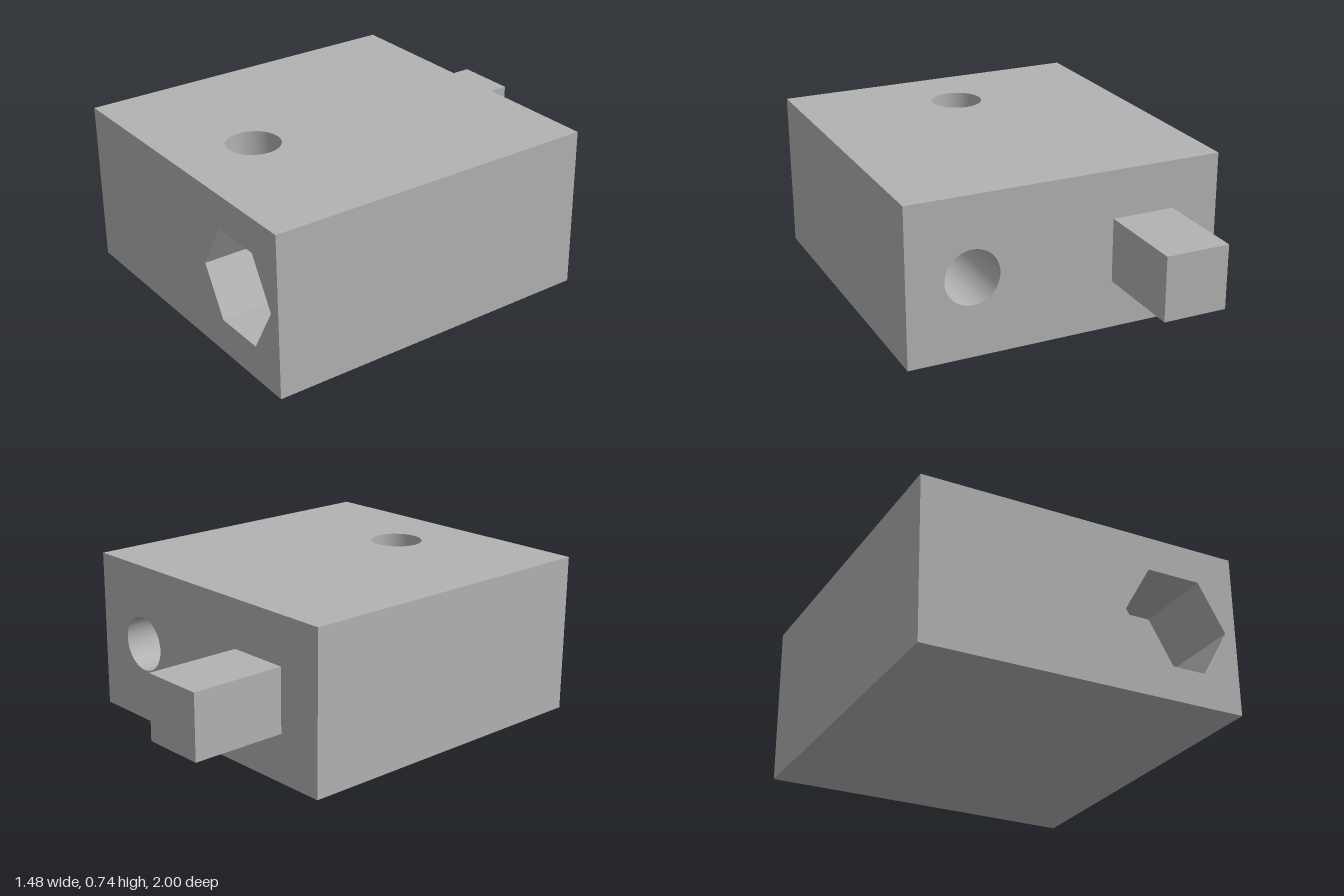
import * as THREE from 'three';

const W = 1.48, H = 0.74, FRONT = 1, BACK = -0.555;
const MID_Z = (FRONT + BACK) / 2, LEN = FRONT - BACK;
const BORE = { x: 0.44, y: 0.37, r: 0.127 };
const HEX = { r: 0.248, depth: 0.375 };
const TOP = { z: 0.627, r: 0.12, depth: 0.37 };

export function createModel() {
  const model = new THREE.Group();
  const grey = new THREE.MeshStandardMaterial({ color: 0xb2b2b2, side: THREE.DoubleSide });

  const add = (name, geometry, x, y, z) => {
    const mesh = new THREE.Mesh(geometry, grey);
    mesh.name = name;
    mesh.position.set(x, y, z);
    model.add(mesh);
    return mesh;
  };
  const rect = (w, h) => new THREE.Shape([
    [-w / 2, -h / 2], [w / 2, -h / 2], [w / 2, h / 2], [-w / 2, h / 2],
  ].map(([x, y]) => new THREE.Vector2(x, y)));
  const hexagon = () => Array.from({ length: 6 }, (_, i) =>
    new THREE.Vector2(HEX.r * Math.cos(i * Math.PI / 3), HEX.r * Math.sin(i * Math.PI / 3)));
  const circle = (x, y, r) => new THREE.Path().absarc(x, y, r, 0, Math.PI * 2, true);
  const face = (shape) => new THREE.ShapeGeometry(shape, 32);

  // Block faces, with openings cut in the front, back and top
  const front = rect(W, H);
  front.holes.push(new THREE.Path(hexagon().map((p) => p.add(new THREE.Vector2(BORE.x, BORE.y - H / 2)))));
  add('blockFront', face(front), 0, H / 2, FRONT);

  const back = rect(W, H);
  back.holes.push(circle(-BORE.x, BORE.y - H / 2, BORE.r));
  add('blockBack', face(back).rotateY(Math.PI), 0, H / 2, BACK);

  const top = rect(W, LEN);
  top.holes.push(circle(0, MID_Z - TOP.z, TOP.r));
  add('blockTop', face(top).rotateX(-Math.PI / 2), 0, H, MID_Z);

  add('blockBottom', face(rect(W, LEN)).rotateX(Math.PI / 2), 0, 0, MID_Z);
  for (const s of [-1, 1]) {
    add(s > 0 ? 'blockLeft' : 'blockRight', face(rect(LEN, H)).rotateY(s * Math.PI / 2), s * W / 2, H / 2, MID_Z);
  }

  // Hexagonal nut pocket with flat walls and a pierced floor
  const floorZ = FRONT - HEX.depth;
  const walls = new THREE.CylinderGeometry(HEX.r, HEX.r, HEX.depth, 6, 1, true, Math.PI / 6)
    .rotateX(Math.PI / 2).toNonIndexed();
  walls.computeVertexNormals();
  add('hexPocketWalls', walls, BORE.x, BORE.y, FRONT - HEX.depth / 2);
  const floor = new THREE.Shape(hexagon());
  floor.holes.push(circle(0, 0, BORE.r));
  add('hexPocketFloor', face(floor), BORE.x, BORE.y, floorZ);

  // Round bore from the pocket to the back
  const boreLen = floorZ - BACK;
  add('bore', new THREE.CylinderGeometry(BORE.r, BORE.r, boreLen, 64, 1, true).rotateX(Math.PI / 2),
    BORE.x, BORE.y, BACK + boreLen / 2);

  // Blind round hole in the top
  add('topHoleWall', new THREE.CylinderGeometry(TOP.r, TOP.r, TOP.depth, 64, 1, true), 0, H - TOP.depth / 2, TOP.z);
  add('topHoleFloor', new THREE.CircleGeometry(TOP.r, 64).rotateX(-Math.PI / 2), 0, H - TOP.depth, TOP.z);

  // Square peg on the back
  const pegLen = BACK + 1;
  add('peg', new THREE.BoxGeometry(0.295, 0.295, pegLen), -0.37, 0.37, BACK - pegLen / 2);

  return model;
}
